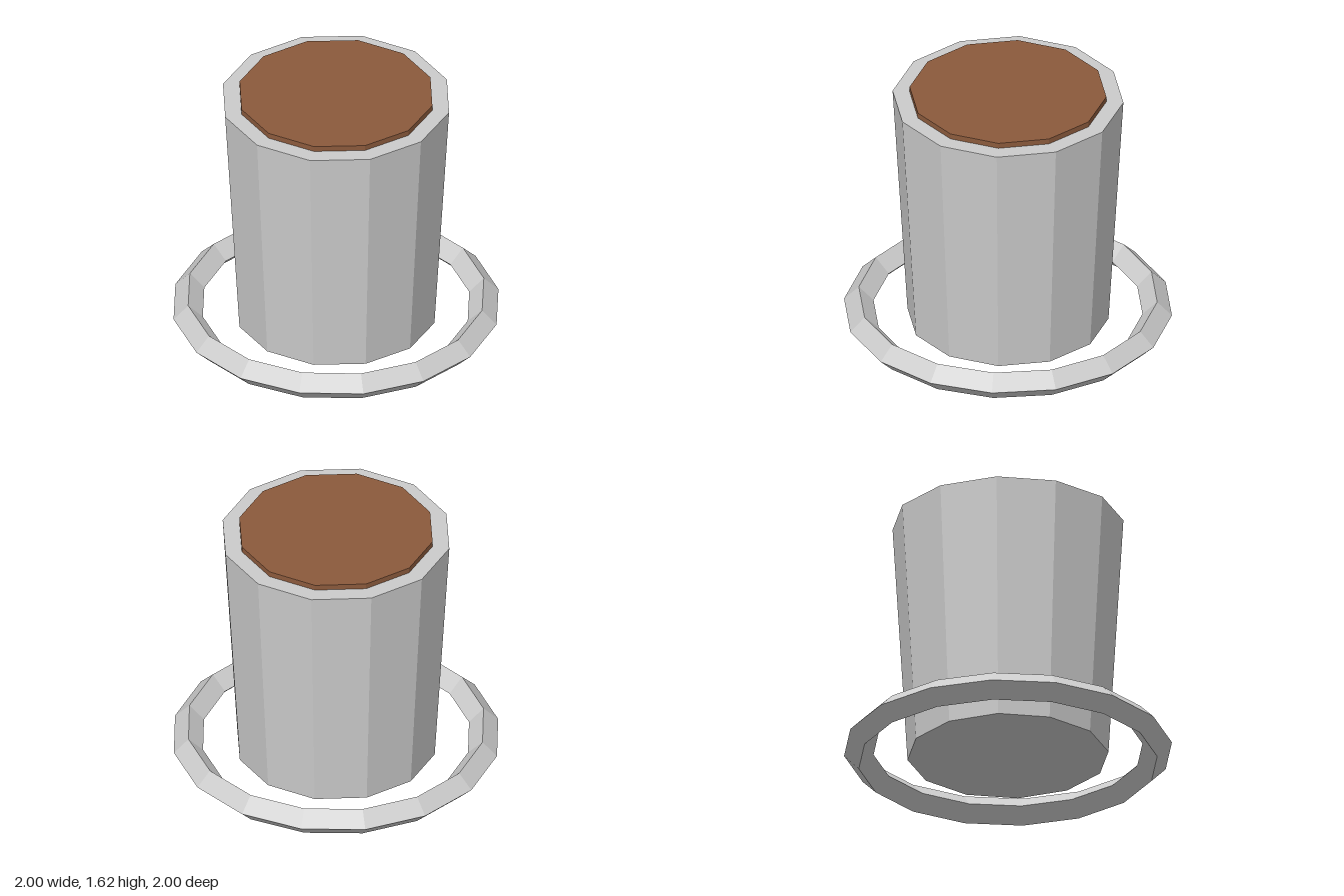
import * as THREE from 'three';

const RING_RADIUS = 0.91, RING_TUBE = 0.09;
const BODY_BOTTOM = 0.045, BODY_TOP = 1.59;

export function createModel() {
  const group = new THREE.Group();
  const grey = new THREE.MeshStandardMaterial({ color: 0xcccccc, flatShading: true });
  const brown = new THREE.MeshStandardMaterial({ color: 0x8b5a3c, flatShading: true });

  const add = (name, geometry, material, y) => {
    const mesh = new THREE.Mesh(geometry, material);
    mesh.name = name;
    mesh.position.y = y;
    group.add(mesh);
    return mesh;
  };

  // Tapered twelve-sided body
  const height = BODY_TOP - BODY_BOTTOM;
  add('body', new THREE.CylinderGeometry(0.704, 0.613, height, 12), grey, BODY_BOTTOM + height / 2);

  // Brown disc standing slightly proud of the body's top
  add('topDisc', new THREE.CylinderGeometry(0.6, 0.6, 0.036, 12), brown, BODY_TOP + 0.017);

  // Loose ring around the base, with a diamond cross-section
  const ring = new THREE.TorusGeometry(RING_RADIUS, RING_TUBE, 4, 16).rotateX(Math.PI / 2);
  add('baseRing', ring, grey, RING_TUBE);

  return group;
}
